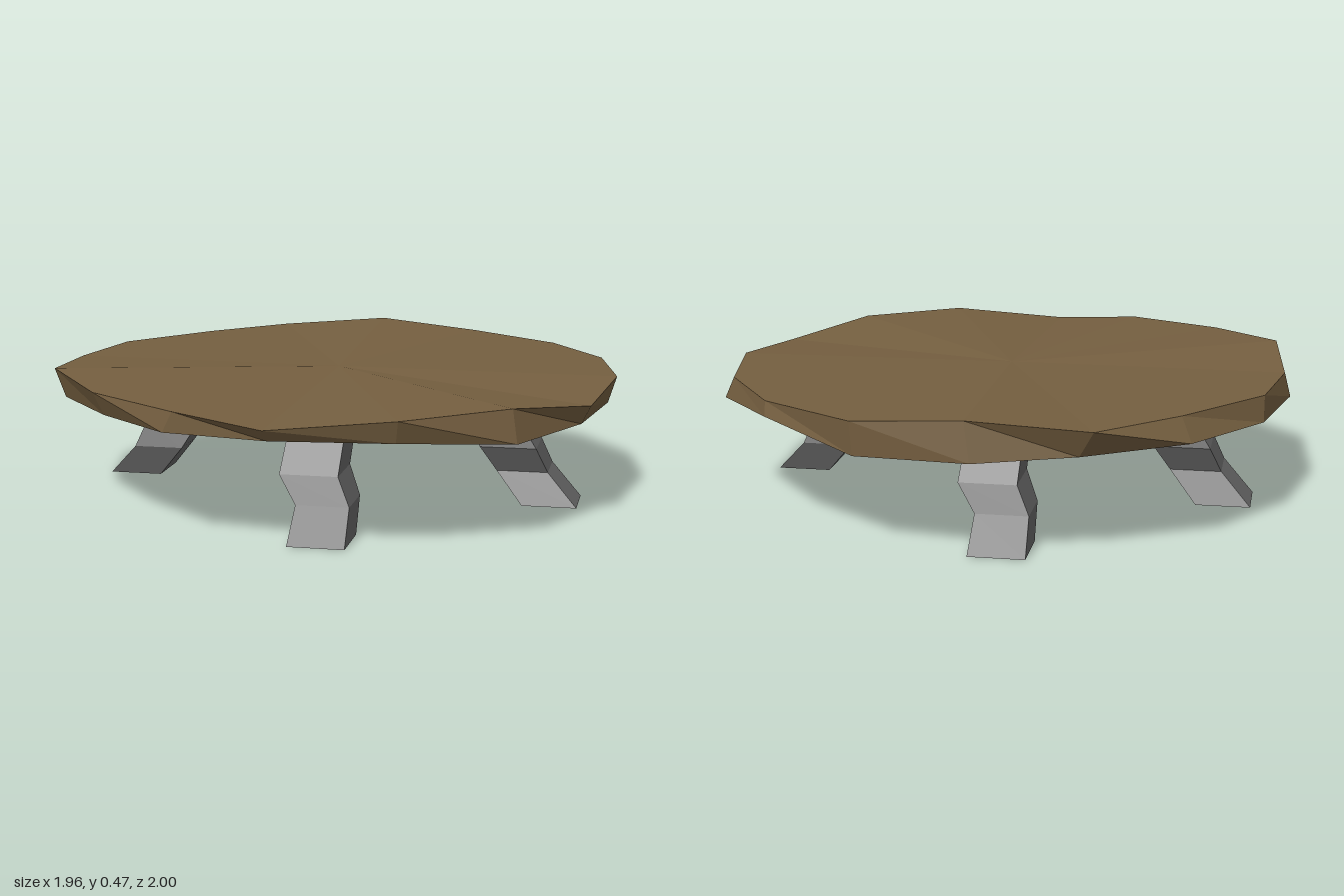
import * as THREE from 'three';

// Closed flat-shaded solid through rings of [x, y, z] points, lowest ring first
function loft(rings, name, material) {
  const pos = [];
  const tri = (...pts) => pts.forEach((p) => pos.push(...p));
  const n = rings[0].length;
  const centre = (ring) => [0, 1, 2].map((k) => ring.reduce((s, p) => s + p[k], 0) / n);
  const low = rings[0], high = rings[rings.length - 1];
  const lowMid = centre(low), highMid = centre(high);
  for (let i = 0; i < n; i++) {
    const j = (i + 1) % n;
    tri(lowMid, low[i], low[j]);
    tri(highMid, high[j], high[i]);
    for (let r = 0; r < rings.length - 1; r++) {
      const a = rings[r], b = rings[r + 1];
      tri(a[i], b[i], b[j]);
      tri(a[i], b[j], a[j]);
    }
  }
  const geometry = new THREE.BufferGeometry();
  geometry.setAttribute('position', new THREE.Float32BufferAttribute(pos, 3));
  geometry.computeVertexNormals();
  const mesh = new THREE.Mesh(geometry, material);
  mesh.name = name;
  return mesh;
}

// Rough-hewn rim of the slab, starting at the back and going round by +x
const topRim = [
  [0, 0.435, -0.95], [0.35, 0.435, -0.95], [0.66, 0.465, -0.7], [0.89, 0.435, -0.4],
  [0.97, 0.43, 0], [0.9, 0.43, 0.36], [0.69, 0.43, 0.68], [0.37, 0.4, 0.915],
  [0, 0.44, 0.97], [-0.4, 0.435, 0.915], [-0.73, 0.4, 0.66], [-0.89, 0.43, 0.38],
  [-0.98, 0.44, 0], [-0.94, 0.46, -0.38], [-0.68, 0.435, -0.7], [-0.4, 0.435, -0.9],
];
const bottomRim = [
  [0, 0.355, -1], [0.36, 0.345, -0.89], [0.66, 0.335, -0.73], [0.88, 0.32, -0.4],
  [0.98, 0.38, -0.01], [0.91, 0.35, 0.41], [0.66, 0.34, 0.67], [0.36, 0.335, 0.88],
  [0, 0.33, 0.995], [-0.39, 0.36, 0.89], [-0.7, 0.36, 0.64], [-0.91, 0.36, 0.35],
  [-0.94, 0.36, 0], [-0.91, 0.36, -0.36], [-0.7, 0.35, -0.71], [-0.38, 0.35, -0.92],
];

// Leg sections: centre x, y, centre z, half diagonal, sideways wobble
const legSections = [
  [0.475, 0, 0.615, 0.133, 0],
  [0.42, 0.11, 0.53, 0.125, -0.015],
  [0.395, 0.2, 0.49, 0.137, 0.015],
  [0.33, 0.36, 0.41, 0.132, 0],
];

function legRings(sx, sz, wobble) {
  const shift = sz > 0 ? -0.015 : 0.02;
  return legSections.map(([x, y, z, h, w]) => {
    const cx = sx * (x + w * wobble);
    const cz = sz * (z + shift - w * wobble);
    return [[cx, y, cz - h], [cx + h, y, cz], [cx, y, cz + h], [cx - h, y, cz]];
  });
}

export function createModel() {
  const group = new THREE.Group();
  group.name = 'table';
  const wood = new THREE.MeshStandardMaterial({ color: 0x755f40, flatShading: true });
  const stone = new THREE.MeshStandardMaterial({ color: 0x666666, flatShading: true });

  group.add(loft([bottomRim, topRim], 'tableTop', wood));

  // Four crooked legs splayed towards the corners
  const legs = [
    ['frontLeftLeg', 1, 1, -1], ['frontRightLeg', -1, 1, 1],
    ['backLeftLeg', 1, -1, 1], ['backRightLeg', -1, -1, -1],
  ];
  for (const [name, sx, sz, wobble] of legs) {
    group.add(loft(legRings(sx, sz, wobble), name, stone));
  }
  return group;
}
